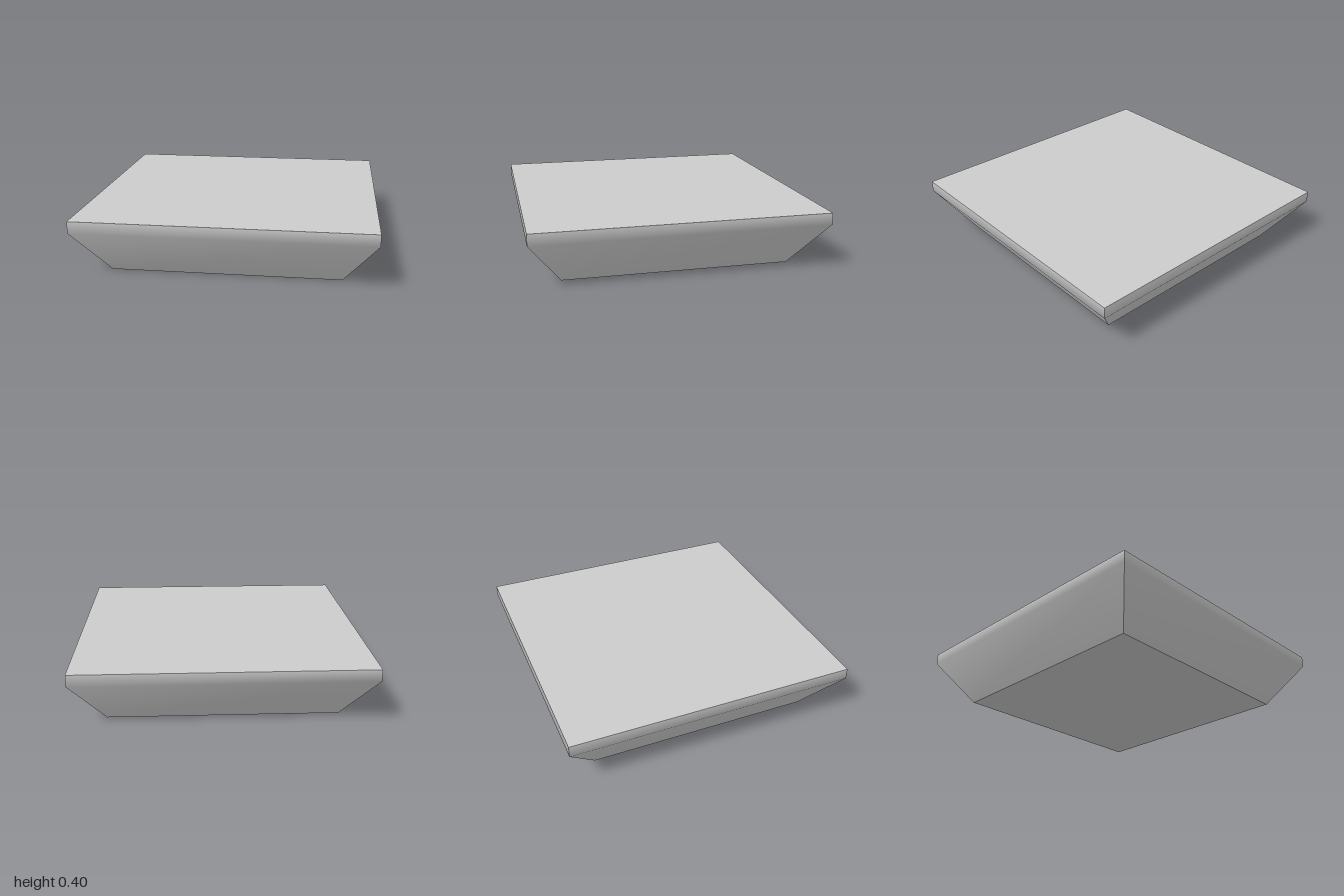
import * as THREE from 'three';

export function createModel() {
  const group = new THREE.Group();
  const height = 0.4, rimY = 0.32, baseHalf = 0.78;

  // Square slab: a straight rim above sides that slope in to a smaller base
  const slab = new THREE.BoxGeometry(2, height, 2, 1, 2, 1);
  slab.translate(0, height / 2, 0);
  const pos = slab.attributes.position;
  for (let i = 0; i < pos.count; i++) {
    const y = pos.getY(i);
    if (y < 0.01) {
      pos.setXYZ(i, Math.sign(pos.getX(i)) * baseHalf, 0, Math.sign(pos.getZ(i)) * baseHalf);
    } else if (y < height - 0.01) {
      pos.setY(i, rimY);
    }
  }
  // Each side is shaded smoothly from rim to slope; the corners stay sharp
  slab.computeVertexNormals();

  const mesh = new THREE.Mesh(slab, new THREE.MeshStandardMaterial({ color: 0xcccccc }));
  mesh.name = 'taperedSlab';
  group.add(mesh);
  return group;
}
